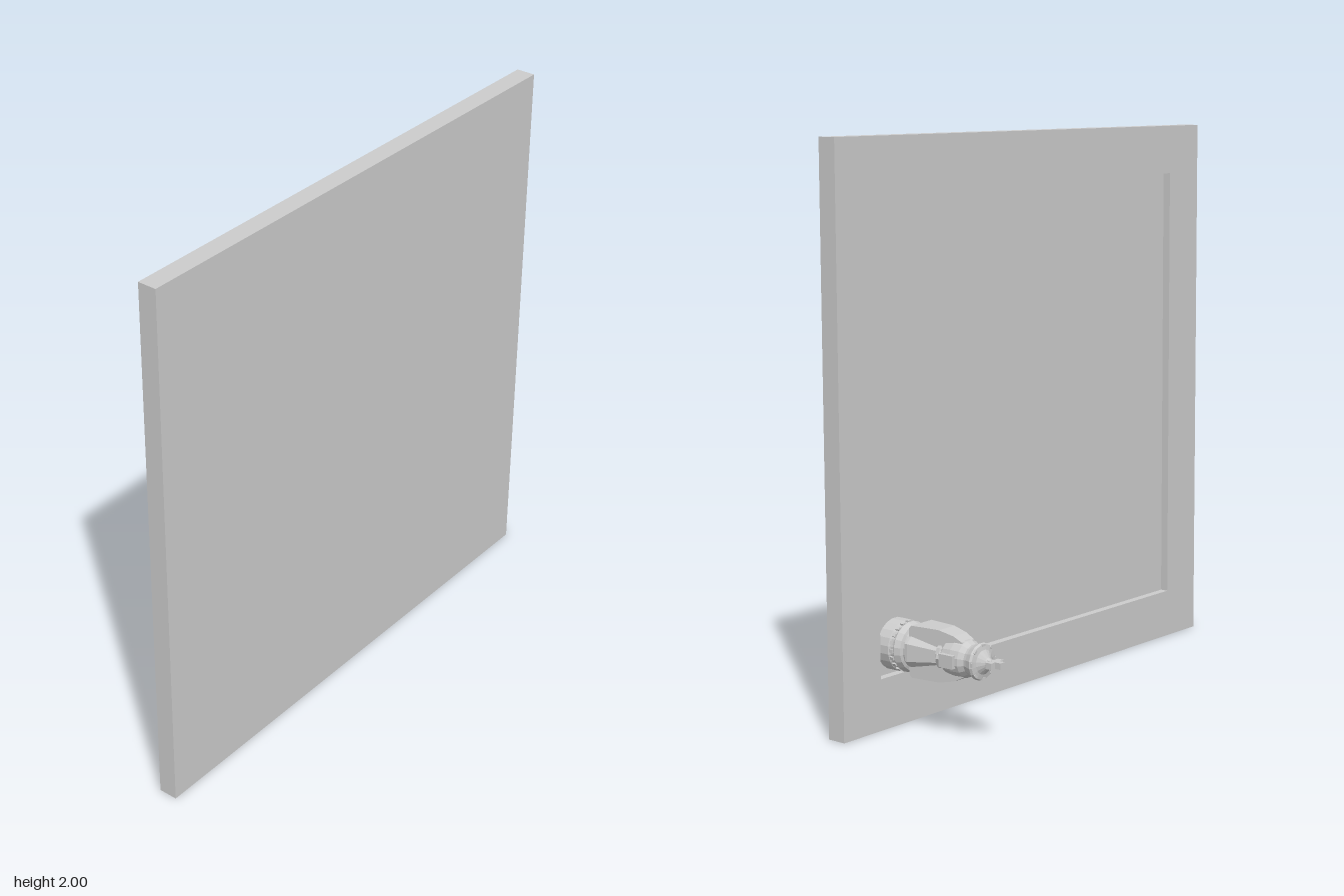
import * as THREE from 'three';

export function createModel() {
  const model = new THREE.Group();
  const mat = new THREE.MeshStandardMaterial({ color: 0xcccccc, flatShading: true });
  const add = (parent, name, geo, x = 0, y = 0, z = 0) => {
    const mesh = new THREE.Mesh(geo, mat);
    mesh.name = name;
    mesh.position.set(x, y, z);
    parent.add(mesh);
    return mesh;
  };
  const lathe = (pts, sides) => new THREE.LatheGeometry(
    pts.map(([r, h]) => new THREE.Vector2(r, h)), sides, Math.PI / sides);
  const square = (Type, s) => {
    const p = new Type();
    p.moveTo(-s, -s).lineTo(s, -s).lineTo(s, s).lineTo(-s, s).closePath();
    return p;
  };

  // Upright board: a solid panel with a raised border on the back
  const board = new THREE.Group();
  board.name = 'board';
  model.add(board);
  add(board, 'panel', new THREE.BoxGeometry(2, 2, 0.04), 0, 1, 0.24);
  const frame = square(THREE.Shape, 1);
  frame.holes.push(square(THREE.Path, 0.82));
  add(board, 'border', new THREE.ExtrudeGeometry(frame, { depth: 0.03, bevelEnabled: false }), 0, 1, 0.19);

  // Chess king, built standing along y and then laid to point backwards
  const king = new THREE.Group();
  king.name = 'king';
  king.position.set(0.715, 0.28, 0.22);
  king.rotation.x = -Math.PI / 2;
  model.add(king);

  // Stepped round base with studs
  add(king, 'base', lathe([[0, 0], [0.09, 0], [0.09, 0.05], [0.084, 0.055], [0.084, 0.068],
    [0.088, 0.074], [0.08, 0.096], [0.07, 0.1], [0.07, 0.115], [0, 0.115]], 20));
  for (let i = 0; i < 20; i++) {
    const a = (i / 20) * Math.PI * 2;
    const stud = add(king, 'baseStud', new THREE.BoxGeometry(0.012, 0.014, 0.01),
      Math.sin(a) * 0.084, 0.061, Math.cos(a) * 0.084);
    stud.rotation.y = a;
  }

  // Flared robe and its deep front and back folds
  add(king, 'robe', lathe([[0, 0.112], [0.08, 0.112], [0.08, 0.122], [0.054, 0.23], [0.05, 0.27], [0, 0.27]], 8));
  const fold = new THREE.Shape();
  [[0.078, 0.112], [0.09, 0.122], [0.09, 0.235], [0.077, 0.295], [0.06, 0.33]].forEach(
    ([z, h], i) => (i ? fold.lineTo(z, h) : fold.moveTo(z, h)));
  fold.lineTo(0, 0.33).lineTo(0, 0.112).closePath();
  const foldGeo = new THREE.ExtrudeGeometry(fold, { depth: 1, bevelEnabled: false });
  foldGeo.rotateY(-Math.PI / 2).translate(0.5, 0, 0);
  // Narrow the folds from hem to chest
  const p = foldGeo.attributes.position;
  for (let i = 0; i < p.count; i++) {
    const t = (p.getY(i) - 0.112) / 0.218;
    p.setX(i, p.getX(i) * (0.105 - 0.045 * t));
  }
  for (const s of [0, Math.PI]) add(king, 'robeFold', foldGeo).rotation.y = s;

  // Chest with bands, and a block on each side
  add(king, 'chest', lathe([[0, 0.225], [0.045, 0.225], [0.056, 0.232], [0.056, 0.246], [0.05, 0.25],
    [0.062, 0.262], [0.066, 0.3], [0.064, 0.335], [0.052, 0.355], [0, 0.355]], 16));
  for (const s of [-1, 1]) {
    add(king, 'arm', new THREE.BoxGeometry(0.028, 0.06, 0.045), s * 0.062, 0.295, 0);
    add(king, 'hand', new THREE.CylinderGeometry(0.018, 0.018, 0.02, 8), s * 0.05, 0.255, 0);
  }

  // Crown with points and a conical cap
  add(king, 'crown', lathe([[0, 0.35], [0.052, 0.35], [0.055, 0.365], [0.064, 0.388], [0.06, 0.396],
    [0.042, 0.4], [0.018, 0.418], [0.012, 0.43], [0, 0.43]], 16));
  for (let i = 0; i < 8; i++) {
    const a = (i / 8) * Math.PI * 2;
    add(king, 'crownPoint', new THREE.BoxGeometry(0.014, 0.012, 0.008),
      Math.sin(a) * 0.057, 0.393, Math.cos(a) * 0.057).rotation.y = a;
  }

  // Cross on top
  add(king, 'crossPost', new THREE.BoxGeometry(0.022, 0.065, 0.022), 0, 0.4475, 0);
  add(king, 'crossBar', new THREE.BoxGeometry(0.064, 0.024, 0.0215), 0, 0.445, 0);

  return model;
}
